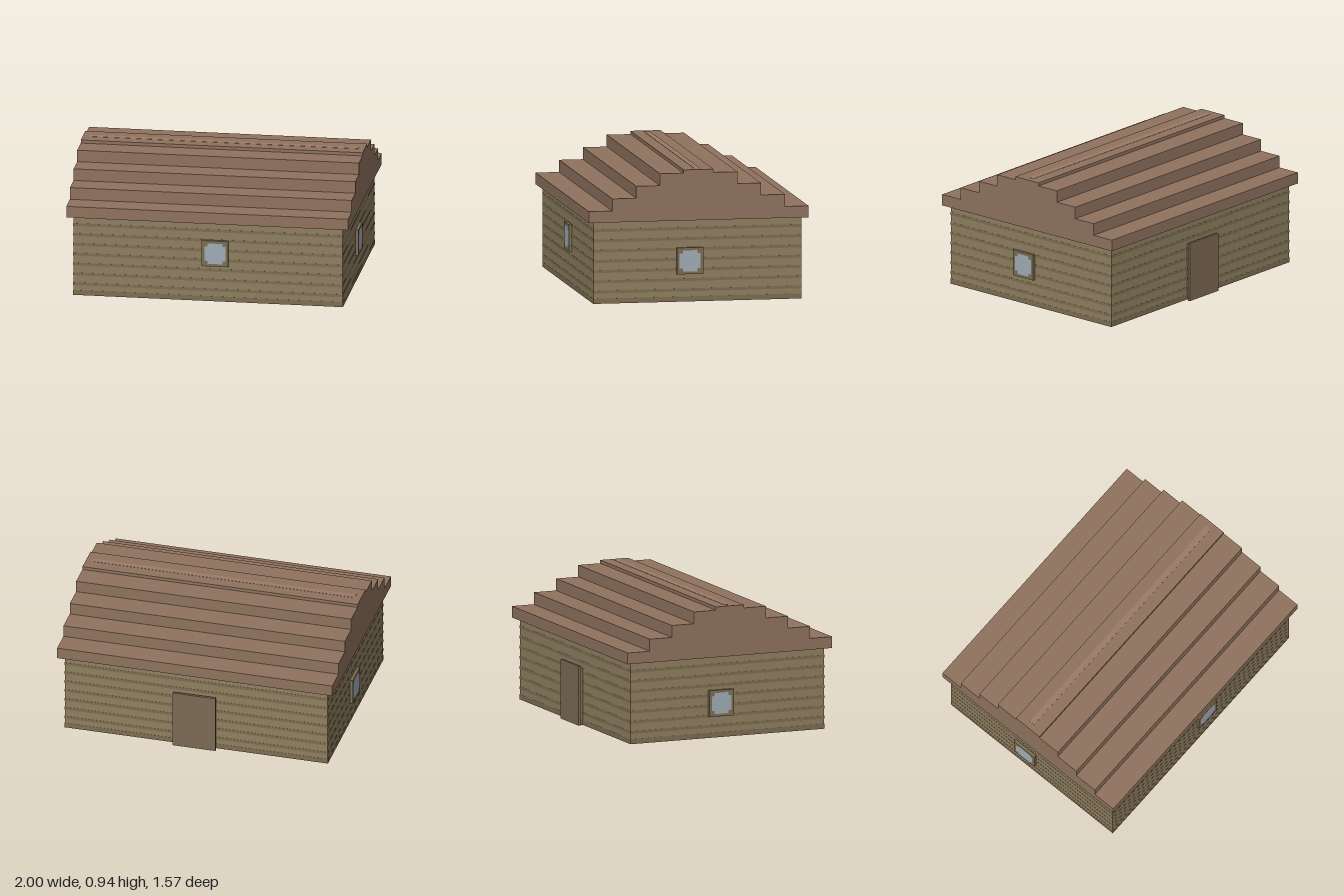
import * as THREE from 'three';

const material = (color) => new THREE.MeshStandardMaterial({ color, flatShading: true });
const wallMat = material(0x8f7f60);
const grooveMat = material(0x7d6e52);
const frameMat = material(0x7c6d52);
const glassMat = material(0xa0acb5);
const roofMat = material(0x8f725e);
const ridgeMat = material(0x9c7b65);
const doorMat = material(0x7c6a54);

// Box given by its minimum and maximum corners
function box(name, min, max, mat) {
  const size = max.map((v, i) => v - min[i]);
  const mesh = new THREE.Mesh(new THREE.BoxGeometry(...size), mat);
  mesh.position.set(...max.map((v, i) => (v + min[i]) / 2));
  mesh.name = name;
  return mesh;
}

// Framed window facing +z, its back on z = 0
function makeWindow(name) {
  const group = new THREE.Group();
  group.name = name;
  const half = 0.094, depth = 0.021, a = 0.075, b = 0.053;
  group.add(box('windowFrame', [-half, -half, 0], [half, half, depth], frameMat));
  // Pane with notched corners
  const outline = [[a, b], [b, b], [b, a]];
  const points = [];
  for (let k = 0; k < 4; k++) {
    const c = Math.round(Math.cos(k * Math.PI / 2)), s = Math.round(Math.sin(k * Math.PI / 2));
    for (const [x, y] of outline) points.push(new THREE.Vector2(c * x - s * y, s * x + c * y));
  }
  const pane = new THREE.Mesh(new THREE.ShapeGeometry(new THREE.Shape(points)), glassMat);
  pane.position.z = depth + 0.001;
  pane.name = 'windowPane';
  group.add(pane);
  return group;
}

// Stepped roof: half profile mirrored across the ridge, then extruded along x
function makeRoof() {
  const steps = [[0.785, 0.661], [0.616, 0.747], [0.446, 0.832], [0.276, 0.916], [0.107, 0.939]];
  const right = [];
  let y = 0.58;
  for (const [z, top] of steps) {
    right.push(new THREE.Vector2(z, y), new THREE.Vector2(z, top));
    y = top;
  }
  const left = right.map((p) => new THREE.Vector2(-p.x, p.y)).reverse();
  const geo = new THREE.ExtrudeGeometry(new THREE.Shape([...right, ...left]), { depth: 2, bevelEnabled: false });
  geo.translate(0, 0, -1).rotateY(Math.PI / 2);
  const roof = new THREE.Mesh(geo, roofMat);
  roof.name = 'steppedRoof';
  return roof;
}

export function createModel() {
  const house = new THREE.Group();
  house.name = 'house';
  const x = 0.956, z = 0.743;

  // Walls with darker plank grooves
  house.add(box('walls', [-x, 0, -z], [x, 0.58, z], wallMat));
  const e = 0.001;
  for (let i = 0; i < 8; i++) {
    const y = i * 0.0725;
    house.add(box('plankGroove', [-x - e, y, -z - e], [x + e, y + (i ? 0.02 : 0.036), z + e], grooveMat));
  }

  // Roof and ridge strip
  house.add(makeRoof());
  house.add(box('ridgeStrip', [-x, 0.92, -0.021], [x, 0.9405, 0.021], ridgeMat));

  // Windows: front, left side, right side
  const placements = [
    ['frontWindow', [0.052, 0.355, z], 0],
    ['leftWindow', [x, 0.29, 0.056], Math.PI / 2],
    ['rightWindow', [-x, 0.246, -0.054], -Math.PI / 2],
  ];
  for (const [name, position, turn] of placements) {
    const win = makeWindow(name);
    win.position.set(...position);
    win.rotation.y = turn;
    house.add(win);
  }

  // Back door: inner casing and outer leaf
  house.add(box('doorCasing', [-0.13, 0, -0.766], [0.14, 0.406, -z], doorMat));
  house.add(box('doorLeaf', [-0.15, 0, -0.784], [0.16, 0.425, -0.766], doorMat));
  return house;
}
